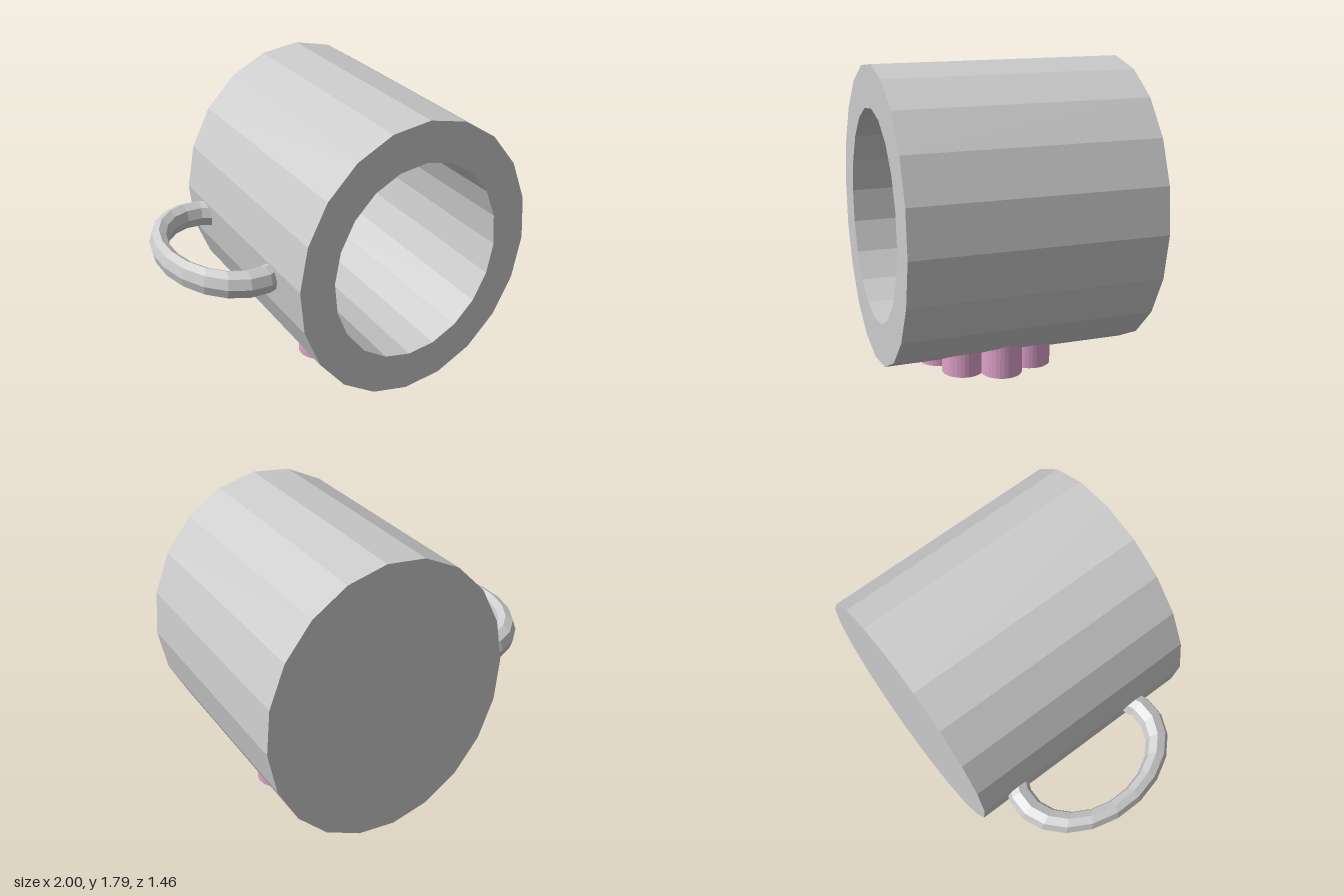
import * as THREE from 'three';

const TILT = THREE.MathUtils.degToRad(-2.7);

function part(name, geometry, color = 0xcccccc) {
  const mesh = new THREE.Mesh(
    geometry,
    new THREE.MeshStandardMaterial({ color, flatShading: true })
  );
  mesh.name = name;
  return mesh;
}

// Thick-walled oval cup lying on its side, open towards +z
function cupGeometry() {
  const half = 0.73, inner = 0.717, floor = -0.53;
  const profile = [
    [0, -half], [1, -half], [1, half], [inner, half], [inner, floor], [0, floor],
  ].map(([r, y]) => new THREE.Vector2(r, y));
  return new THREE.LatheGeometry(profile, 20)
    .rotateX(Math.PI / 2)
    .rotateZ(TILT)
    .scale(0.756, 0.858, 1)
    .translate(0.245, 0.932, 0);
}

// Oval ring handle, its ends buried in the cup wall
function handleGeometry() {
  const arc = THREE.MathUtils.degToRad(234);
  return new THREE.TorusGeometry(0.455, 0.0725, 8, 13, arc)
    .rotateZ(Math.PI - arc / 2)
    .rotateX(Math.PI / 2)
    .scale(0.76, 1.14, 1)
    .rotateZ(TILT)
    .translate(-0.6, 0.892, -0.052);
}

// Eight round petals as one scalloped slab
function petalGeometry() {
  const shape = new THREE.Shape();
  for (let i = 0; i < 8; i++) {
    const a = (i * Math.PI) / 4;
    shape.absarc(
      0.29 * Math.cos(a), 0.29 * Math.sin(a), 0.12,
      a - Math.PI / 2, a + Math.PI / 2, false
    );
  }
  return new THREE.ExtrudeGeometry(shape, {
    depth: 0.23, bevelEnabled: false, curveSegments: 8,
  }).rotateX(-Math.PI / 2);
}

export function createModel() {
  const model = new THREE.Group();
  model.name = 'mug';
  model.add(part('cup', cupGeometry()), part('handle', handleGeometry()));

  // Flower under the cup
  const flower = new THREE.Group();
  flower.name = 'flower';
  flower.position.set(0.265, 0, 0.073);
  const petals = part('petals', petalGeometry(), 0xe0a3cc);
  petals.position.y = 0.037;
  const heart = part('flowerCentre', new THREE.CylinderGeometry(0.197, 0.197, 0.08, 24), 0xdccb9c);
  heart.position.y = 0.04;
  flower.add(petals, heart);
  model.add(flower);

  return model;
}
